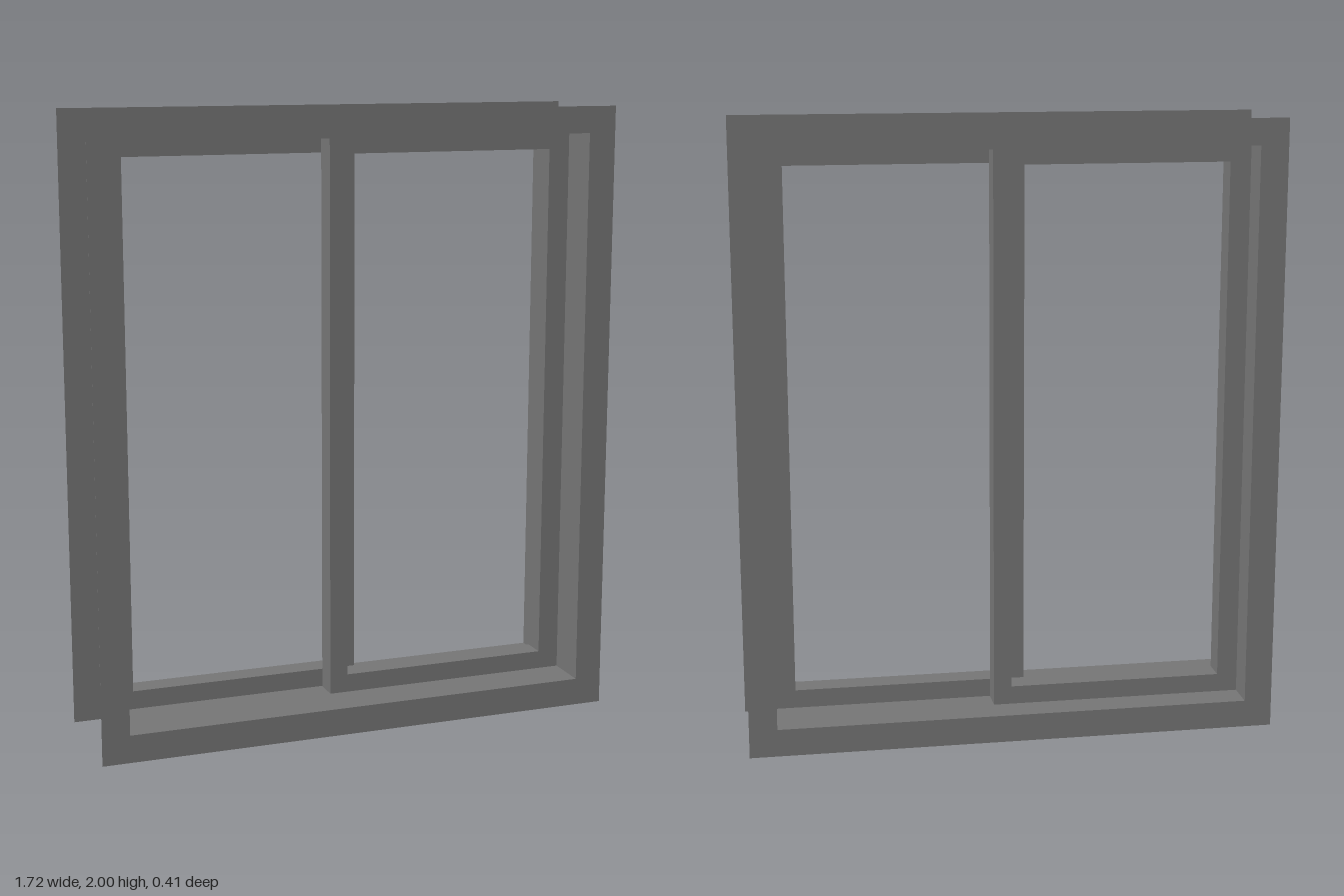
import * as THREE from 'three';

const grey = new THREE.MeshStandardMaterial({ color: 0x747474, side: THREE.DoubleSide });
grey.name = 'window grey';

// Opening and depth of the casing
const X = 0.77, Y0 = 0.09, Y1 = 1.915, Z = 0.205;

function add(parent, name, geometry) {
  const mesh = new THREE.Mesh(geometry, grey);
  mesh.name = name;
  parent.add(mesh);
  return mesh;
}

function rectangle(Type, x0, x1, y0, y1) {
  const r = new Type();
  r.moveTo(x0, y0);
  r.lineTo(x1, y0);
  r.lineTo(x1, y1);
  r.lineTo(x0, y1);
  r.closePath();
  return r;
}

// Rectangle with a rectangular opening
function frameShape(outer, inner) {
  const shape = rectangle(THREE.Shape, ...outer);
  shape.holes.push(rectangle(THREE.Path, ...inner));
  return shape;
}

export function createModel() {
  const model = new THREE.Group();
  model.name = 'slidingWindow';

  // Flat flanges on both sides of the wall
  const flange = new THREE.ShapeGeometry(frameShape([-0.86, 0.86, 0, 2], [-X, X, Y0, Y1]));
  add(model, 'frontFlange', flange).position.z = Z;
  const back = add(model, 'backFlange', flange);
  back.position.z = -Z;
  back.rotation.y = Math.PI;

  // Thin casing joining the flanges
  const casing = new THREE.Group();
  casing.name = 'casing';
  model.add(casing);
  for (const s of [-1, 1]) {
    const jamb = add(casing, s > 0 ? 'leftJamb' : 'rightJamb', new THREE.PlaneGeometry(2 * Z, Y1 - Y0));
    jamb.rotation.y = s * Math.PI / 2;
    jamb.position.set(s * X, (Y0 + Y1) / 2, 0);
    const board = add(casing, s > 0 ? 'head' : 'sill', new THREE.PlaneGeometry(2 * X, 2 * Z));
    board.rotation.x = -s * Math.PI / 2;
    board.position.y = s > 0 ? Y1 : Y0;
  }

  // Two sliding sashes, overlapping at the middle
  const sash = (name, x0, x1, inner0, inner1, z) => {
    const shape = frameShape([x0, x1, Y0, Y1], [inner0, inner1, 0.15, 1.858]);
    const geometry = new THREE.ExtrudeGeometry(shape, { depth: 0.08, bevelEnabled: false });
    add(model, name, geometry).position.z = z;
  };
  sash('frontSash', -0.058, X, 0.003, 0.7, -0.02);
  sash('backSash', -X, 0.055, -0.703, -0.003, -0.102);

  return model;
}
